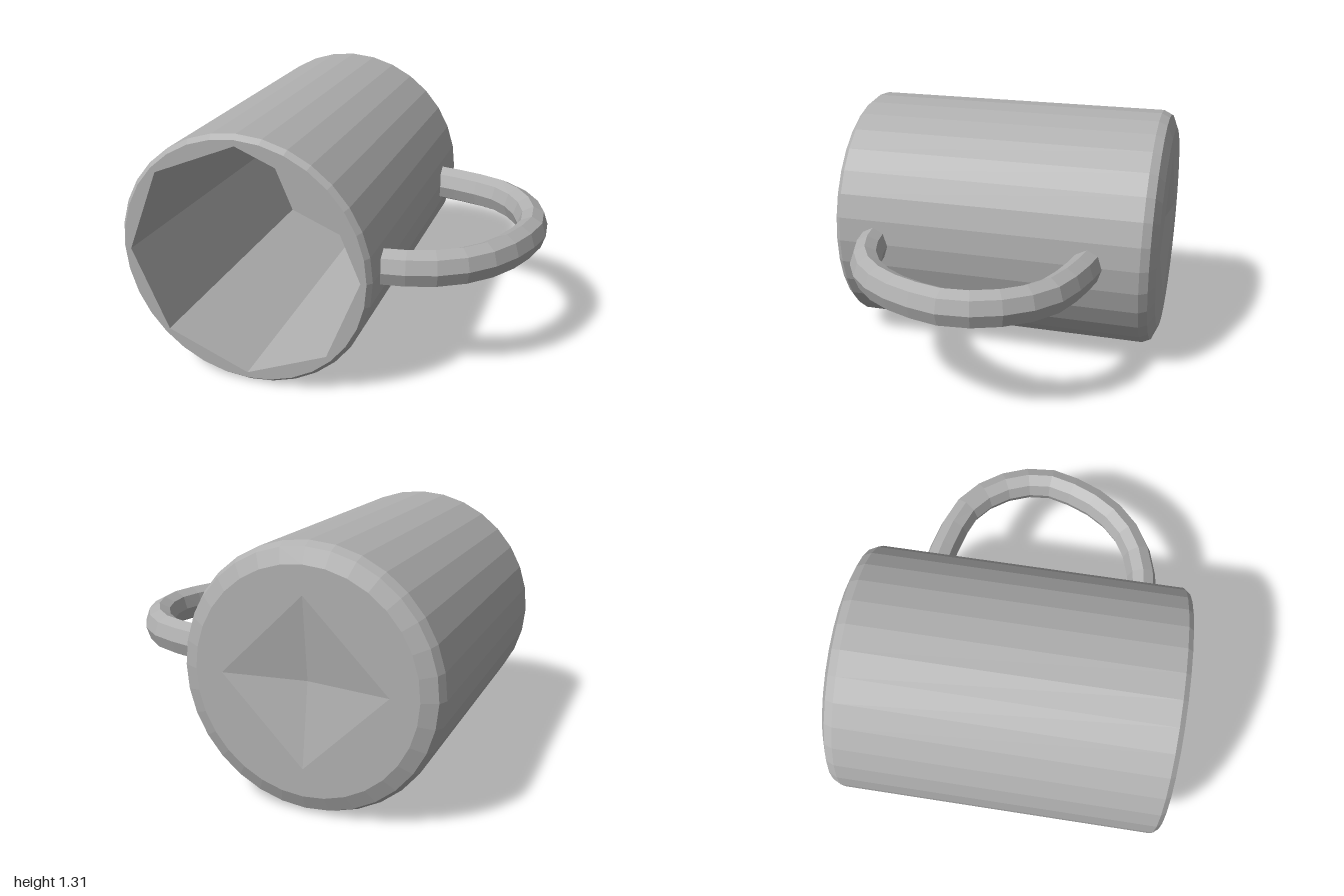
import * as THREE from 'three';

const grey = new THREE.MeshStandardMaterial({ color: 0xb0b0b0, flatShading: true, side: THREE.DoubleSide });
grey.name = 'grey';

const SIDES = 32, FRONT = 0.867, BACK = -0.867;

function part(name, geometry, parent) {
  const mesh = new THREE.Mesh(geometry, grey);
  mesh.name = name;
  parent.add(mesh);
  return mesh;
}

// Surface of revolution around z; profile entries are [radius, z]
function turned(profile, sides) {
  const points = profile.map(([r, z]) => new THREE.Vector2(r, z));
  return new THREE.LatheGeometry(points, sides).rotateX(Math.PI / 2);
}

function polygon(radius, sides) {
  return Array.from({ length: sides }, (_, i) => {
    const a = (i / sides) * Math.PI * 2;
    return new THREE.Vector2(radius * Math.cos(a), radius * Math.sin(a));
  });
}

// Flat face between an outer circle and a polygonal opening
function ring(outer, inner, innerSides) {
  const shape = new THREE.Shape(polygon(outer, SIDES));
  shape.holes.push(new THREE.Path(polygon(inner, innerSides).reverse()));
  return new THREE.ShapeGeometry(shape);
}

export function createModel() {
  const mug = new THREE.Group();
  mug.name = 'mug';

  // Cup lying on its side, open towards the front
  const cup = new THREE.Group();
  cup.name = 'cup';
  cup.position.set(-0.343, 0.657, 0);
  mug.add(cup);

  part('outerWall', turned([[0.56, BACK], [0.635, -0.835], [0.657, -0.79], [0.657, 0.84], [0.635, FRONT]], SIDES), cup);
  part('rim', ring(0.635, 0.605, 8).translate(0, 0, FRONT), cup);
  part('innerWall', turned([[0.605, FRONT], [0.57, -0.7], [0, -0.7]], 8), cup);

  // Base with a shallow four-sided dent
  part('base', ring(0.56, 0.42, 4).rotateY(Math.PI).translate(0, 0, BACK), cup);
  part('baseDent', turned([[0, -0.81], [0.42, BACK]], 4), cup);

  // Curved handle, taller than it is thick
  const path = new THREE.CatmullRomCurve3([
    [0.28, -0.525], [0.5, -0.48], [0.7, -0.4], [0.85, -0.23], [0.92, 0],
    [0.88, 0.2], [0.78, 0.4], [0.63, 0.545], [0.46, 0.62], [0.28, 0.65],
  ].map(([x, z]) => new THREE.Vector3(x, 0, z)));
  const handle = part('handle', new THREE.TubeGeometry(path, 14, 0.08, 8, false).scale(1, 1.22, 1), mug);
  handle.position.y = 0.65;

  return mug;
}
